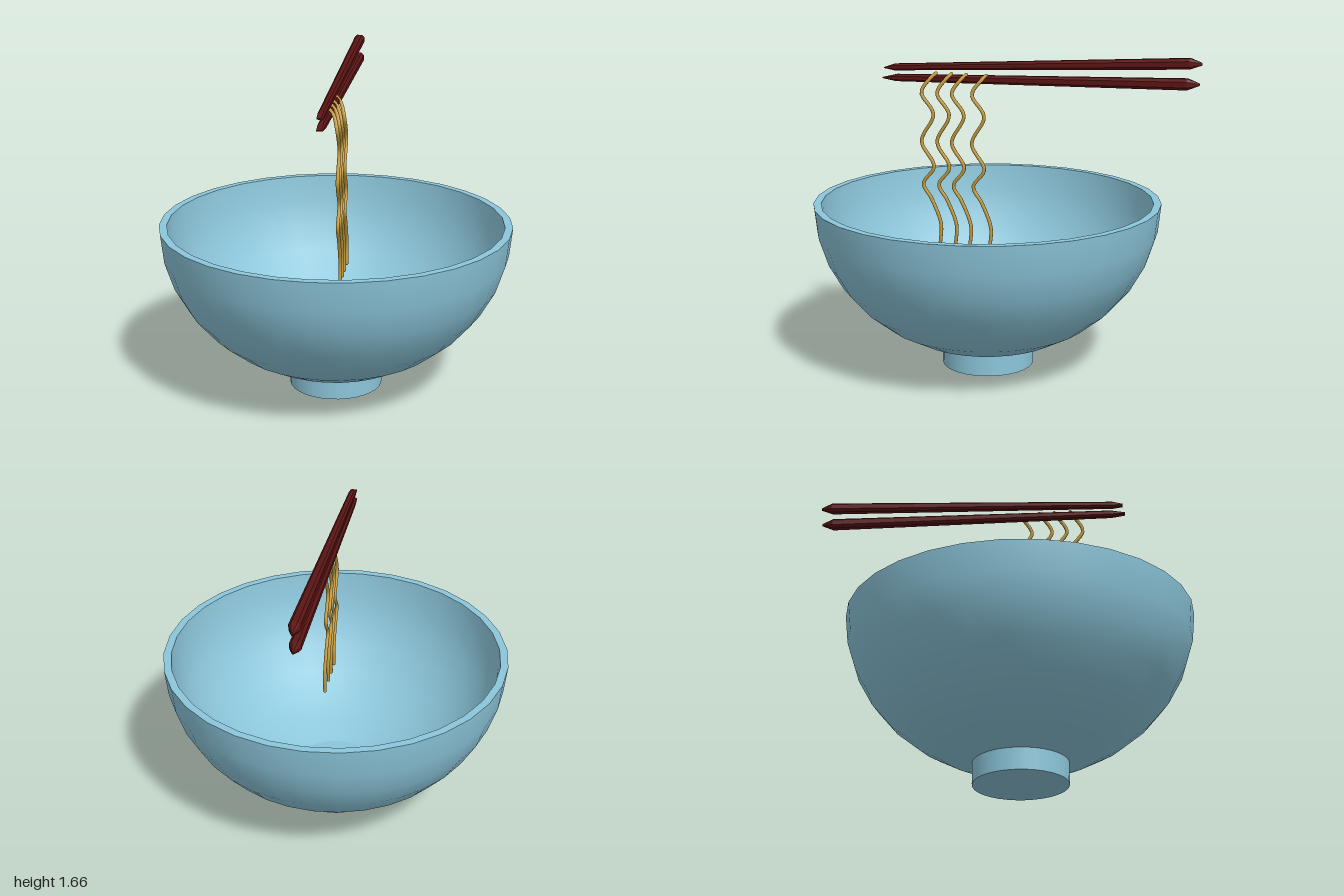
import * as THREE from 'three';

const BOWL_Z = 0.095;
const RIM_Y = 0.885;

const material = (color, extra = {}) => new THREE.MeshStandardMaterial({ color, ...extra });

function addMesh(parent, name, geometry, mat) {
  const mesh = new THREE.Mesh(geometry, mat);
  mesh.name = name;
  parent.add(mesh);
  return mesh;
}

// Elliptical bowl wall, listed from the foot radius up to the rim
function wallProfile(radius, depth, steps = 7) {
  const start = Math.asin(0.24 / radius);
  return Array.from({ length: steps + 1 }, (_, i) => {
    const a = start + (Math.PI / 2 - start) * i / steps;
    return new THREE.Vector2(radius * Math.sin(a), RIM_Y - depth * Math.cos(a));
  });
}

function createBowl() {
  const bowl = new THREE.Group();
  bowl.name = 'bowl';
  bowl.position.z = BOWL_Z;
  const mat = material(0x8cc6da, { side: THREE.DoubleSide });
  const outer = wallProfile(0.9, 0.803);
  const inner = wallProfile(0.86, 0.78);
  addMesh(bowl, 'outerWall', new THREE.LatheGeometry(outer, 32), mat);
  addMesh(bowl, 'innerWall', new THREE.LatheGeometry(inner.slice().reverse(), 32), mat);

  const rim = addMesh(bowl, 'rim', new THREE.RingGeometry(0.86, 0.9, 32), mat);
  rim.rotation.x = -Math.PI / 2;
  rim.position.y = RIM_Y;

  // The top of the foot forms the flat floor inside the bowl
  const footHeight = inner[0].y;
  const foot = addMesh(bowl, 'foot', new THREE.CylinderGeometry(0.242, 0.242, footHeight, 32), mat);
  foot.position.y = footHeight / 2;
  return bowl;
}

// Faceted stick lofted through rings of [z, y, halfWidth, halfHeight]
function chopstickGeometry(rings) {
  const corners = [[1, -0.5], [1, 0.5], [0.5, 1], [-0.5, 1], [-1, 0.5], [-1, -0.5], [-0.5, -1], [0.5, -1]];
  const n = corners.length;
  const positions = [];
  const index = [];
  for (const [z, y, w, h] of rings) {
    for (const [cx, cy] of corners) positions.push(cx * w, y + cy * h, z);
  }
  for (let r = 0; r < rings.length - 1; r++) {
    for (let i = 0; i < n; i++) {
      const a = r * n + i, b = r * n + (i + 1) % n;
      index.push(a, a + n, b, b, a + n, b + n);
    }
  }
  // End caps
  const last = (rings.length - 1) * n;
  for (let i = 1; i < n - 1; i++) {
    index.push(0, i, i + 1, last, last + i + 1, last + i);
  }
  const geometry = new THREE.BufferGeometry();
  geometry.setAttribute('position', new THREE.Float32BufferAttribute(positions, 3));
  geometry.setIndex(index);
  geometry.computeVertexNormals();
  return geometry;
}

function createChopsticks() {
  const sticks = new THREE.Group();
  sticks.name = 'chopsticks';
  const mat = material(0x5c1414, { flatShading: true, side: THREE.DoubleSide });
  addMesh(sticks, 'upperChopstick', chopstickGeometry([
    [0.655, 1.553, 0.016, 0.003], [0.6, 1.558, 0.018, 0.017],
    [-0.94, 1.638, 0.027, 0.027], [-1.0, 1.638, 0.004, 0.006],
  ]), mat);
  addMesh(sticks, 'lowerChopstick', chopstickGeometry([
    [0.665, 1.5, 0.016, 0.003], [0.59, 1.503, 0.019, 0.018],
    [-0.93, 1.537, 0.027, 0.028], [-0.99, 1.538, 0.004, 0.006],
  ]), mat);
  return sticks;
}

function createNoodles() {
  const noodles = new THREE.Group();
  noodles.name = 'noodles';
  const mat = material(0xc49b3c);
  // Wavy strand hooked over the lower chopstick and hanging into the bowl
  const strand = [
    [0.005, 1.535, 0.372], [0.03, 1.51, 0.395], [0.052, 1.44, 0.435], [0.053, 1.33, 0.37],
    [0.053, 1.185, 0.437], [0.053, 1.055, 0.37], [0.053, 0.96, 0.43], [0.053, 0.88, 0.385],
    [0.053, 0.75, 0.335], [0.053, 0.65, 0.34],
  ];
  [0, 0.086, 0.166, 0.275].forEach((offset, i) => {
    const curve = new THREE.CatmullRomCurve3(
      strand.map(([x, y, z]) => new THREE.Vector3(x, y, z - offset)));
    addMesh(noodles, `noodle${i + 1}`, new THREE.TubeGeometry(curve, 60, 0.0095, 8), mat);
    // Closed strand ends
    for (const t of [0, 1]) {
      const end = addMesh(noodles, `noodleEnd${i + 1}`, new THREE.SphereGeometry(0.0095, 8, 6), mat);
      end.position.copy(curve.getPoint(t));
    }
  });
  return noodles;
}

export function createModel() {
  const model = new THREE.Group();
  model.name = 'noodleBowl';
  model.add(createBowl(), createChopsticks(), createNoodles());
  return model;
}
